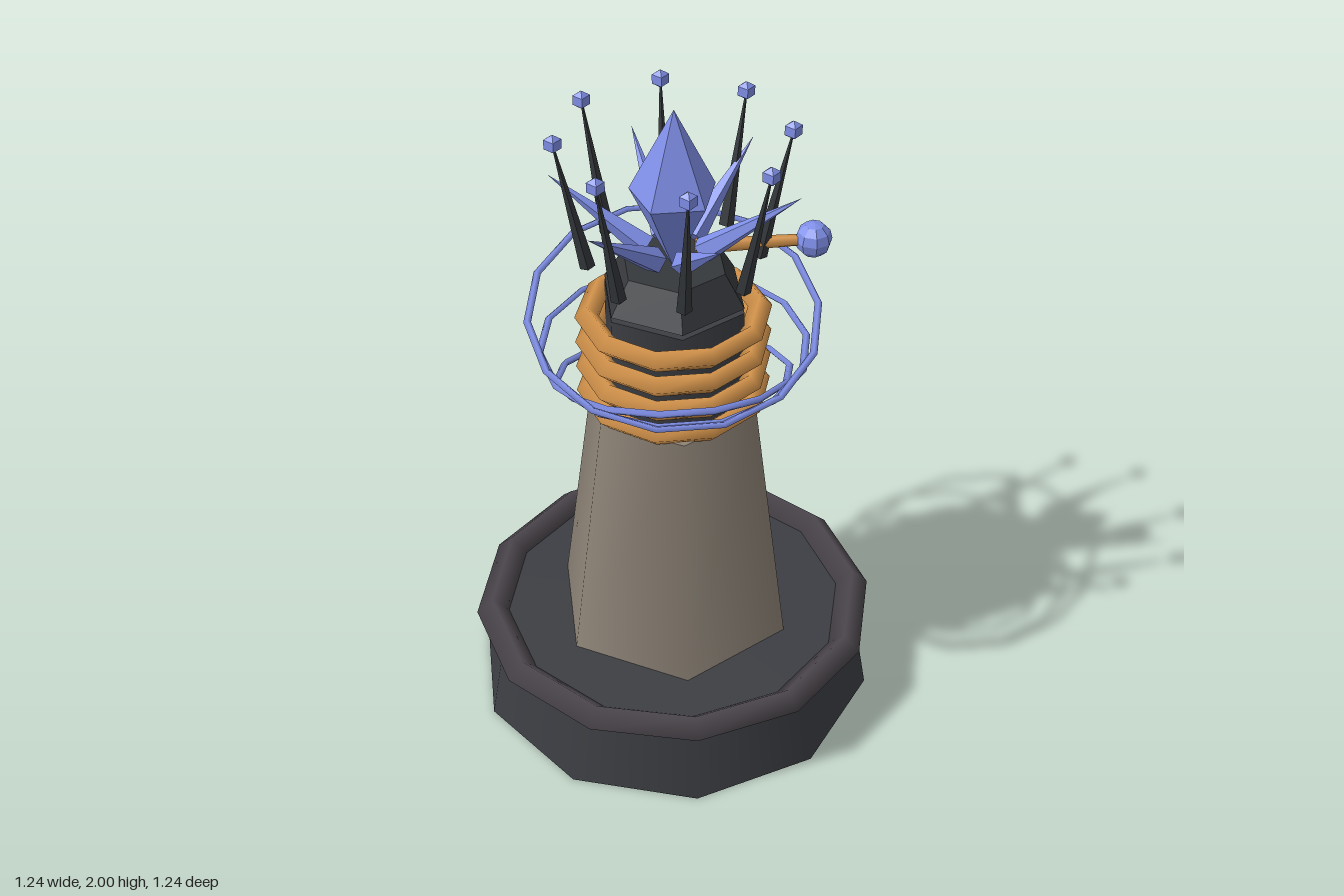
import * as THREE from 'three';

const material = (color, flatShading = false) => new THREE.MeshStandardMaterial({ color, flatShading });

export function createModel() {
  const model = new THREE.Group();
  const stone = material(0x8c8276);
  const dark = material(0x3c3e43);
  const darkFlat = material(0x35383c, true);
  const rim = material(0x4b464c);
  const amber = material(0xd6954c);
  const blue = material(0x7f8fe8);
  const blueFlat = material(0x7f8fe8, true);

  const add = (name, geometry, mat, x = 0, y = 0, z = 0) => {
    const mesh = new THREE.Mesh(geometry, mat);
    mesh.name = name;
    mesh.position.set(x, y, z);
    model.add(mesh);
    return mesh;
  };
  // Upright tapered column between two heights
  const column = (name, rTop, rBottom, y0, y1, sides, mat) =>
    add(name, new THREE.CylinderGeometry(rTop, rBottom, y1 - y0, sides), mat, 0, (y0 + y1) / 2);
  // Torus lying flat
  const ring = (name, radius, tube, sides, segments, y, mat) =>
    add(name, new THREE.TorusGeometry(radius, tube, sides, segments).rotateX(Math.PI / 2), mat, 0, y);
  // Tapered rod from point a (radius ra) to point b (radius rb)
  const rod = (name, a, b, ra, rb, sides, mat) => {
    const dir = b.clone().sub(a);
    const mesh = add(name, new THREE.CylinderGeometry(rb, ra, dir.length(), sides), mat);
    mesh.position.copy(a).add(b).multiplyScalar(0.5);
    mesh.quaternion.setFromUnitVectors(new THREE.Vector3(0, 1, 0), dir.normalize());
    return mesh;
  };
  const polar = (radius, angle, y) =>
    new THREE.Vector3(Math.cos(angle) * radius, y, Math.sin(angle) * radius);

  // Base and tower
  column('base', 0.577, 0.62, 0, 0.25, 10, dark);
  ring('baseRim', 0.57, 0.05, 4, 12, 0.25, rim);
  column('tower', 0.26, 0.372, 0.25, 1.07, 6, stone);
  column('collar', 0.215, 0.215, 1.07, 1.405, 6, dark);
  column('crownBase', 0.155, 0.215, 1.42, 1.52, 6, darkFlat);

  // Stacked coils
  for (let i = 0; i < 4; i++) ring('coil', 0.247, 0.035, 4, 10, 1.098 + i * 0.085, amber);

  // Thin orbiting hoops
  ring('upperHoop', 0.415, 0.011, 4, 14, 1.348, blue).rotation.x = 0.27;
  ring('middleHoop', 0.385, 0.011, 4, 14, 1.238, blue);
  ring('lowerHoop', 0.34, 0.011, 4, 14, 1.135, blue).rotation.x = -0.3;

  // Central crystal: two five-sided pyramids base to base
  const crystal = [[1, 1.745, 2.0], [-1, 1.745, 1.5]];
  for (const [sign, y0, y1] of crystal) {
    const cone = new THREE.ConeGeometry(0.126, Math.abs(y1 - y0), 5, 1, true);
    if (sign < 0) cone.rotateX(Math.PI);
    else cone.rotateY(Math.PI);
    add('crystal', cone, blueFlat, 0, (y0 + y1) / 2);
  }

  // Crystal shards leaning outwards
  for (let i = 0; i < 6; i++) {
    const angle = THREE.MathUtils.degToRad(16.5 + i * 60);
    rod('shard', polar(0.08, angle, 1.565), polar(0.35, angle, 1.765), 0.038, 0, 5, blueFlat);
  }

  // Crown prongs tipped with beads
  for (let i = 0; i < 8; i++) {
    const angle = (i * Math.PI) / 4;
    rod('prong', polar(0.24, angle, 1.525), polar(0.322, angle, 1.91), 0.023, 0.003, 5, darkFlat);
    const tip = polar(0.323, angle, 1.918);
    add('bead', new THREE.SphereGeometry(0.028, 4, 3), blueFlat, tip.x, tip.y, tip.z);
  }

  // Side arm with knob
  rod('arm', new THREE.Vector3(0.06, 1.567, 0), new THREE.Vector3(0.37, 1.567, 0), 0.022, 0.016, 6, amber);
  add('armKnob', new THREE.SphereGeometry(0.053, 8, 6), blueFlat, 0.392, 1.567, 0);

  return model;
}
